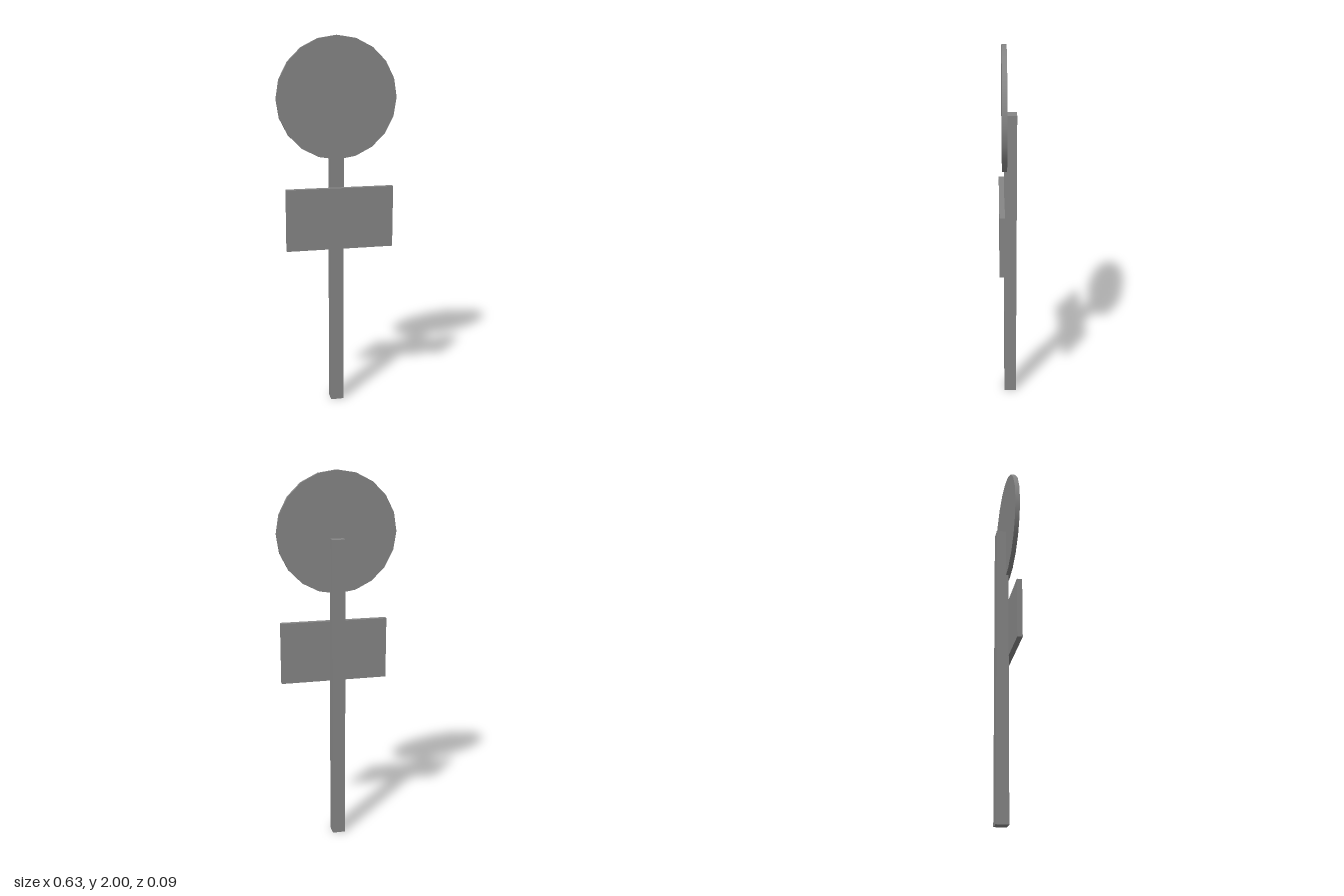
import * as THREE from 'three';

export function createModel() {
  const group = new THREE.Group();
  const material = new THREE.MeshStandardMaterial({ color: 0x868686 });

  const add = (name, geometry, x, y, z) => {
    const mesh = new THREE.Mesh(geometry, material);
    mesh.name = name;
    mesh.position.set(x, y, z);
    mesh.rotation.y = -0.003; // the whole sign is turned very slightly
    group.add(mesh);
  };

  // Square post
  add('post', new THREE.BoxGeometry(0.069, 1.656, 0.067), 0.0035, 0.828, -0.0135);

  // Round sign, 20 sides, facing the front
  const disc = new THREE.CylinderGeometry(0.316, 0.316, 0.025, 20).rotateX(Math.PI / 2);
  add('roundSign', disc, 0, 1.684, 0.018);

  // Rectangular plate fixed to the front of the post
  add('plate', new THREE.BoxGeometry(0.575, 0.33, 0.028), 0.0135, 1.052, 0.032);

  return group;
}
